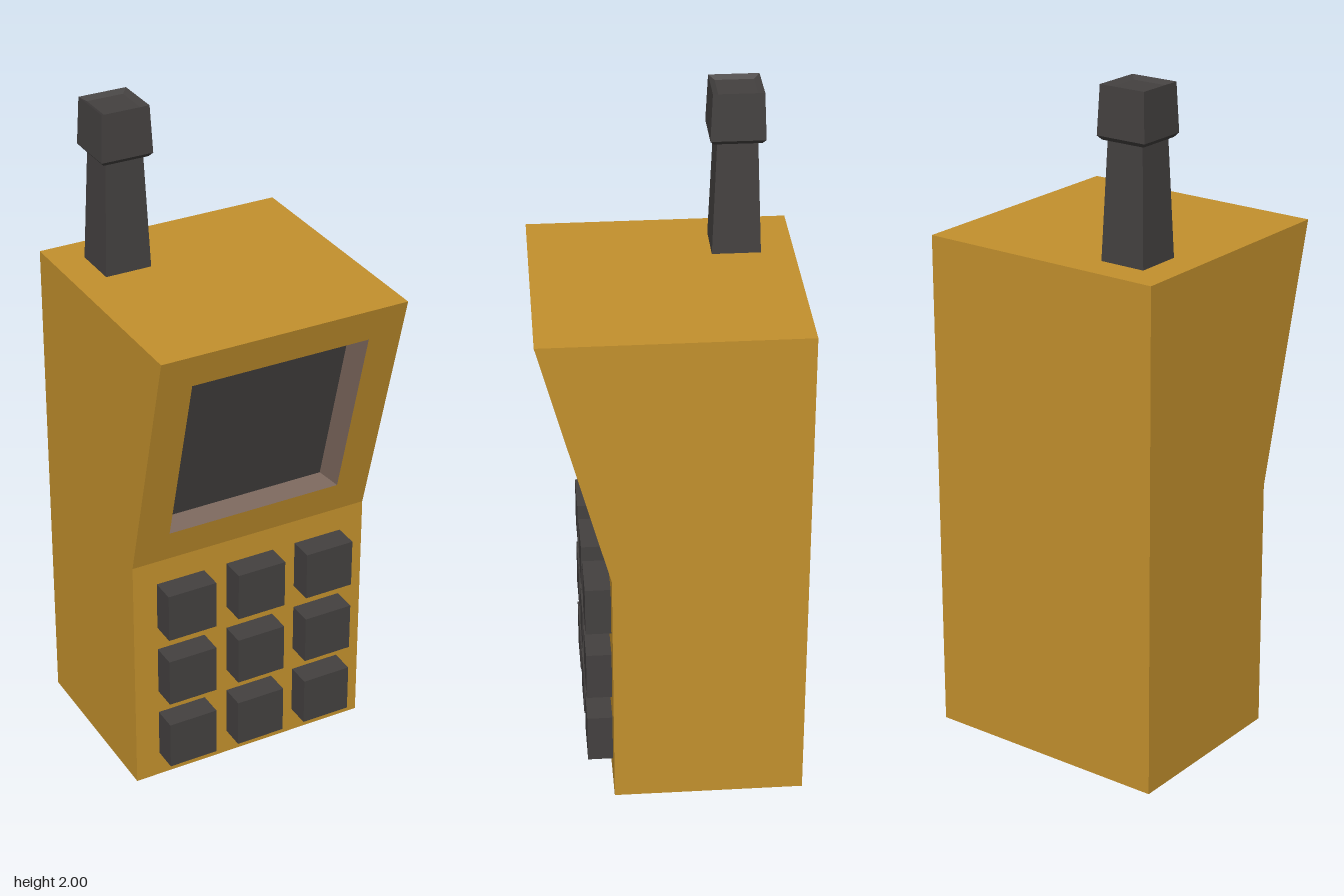
import * as THREE from 'three';

const casingMat = new THREE.MeshStandardMaterial({ color: 0xc4912d });
casingMat.name = 'mustard casing';
const darkMat = new THREE.MeshStandardMaterial({ color: 0x444140 });
darkMat.name = 'charcoal';
const bezelMat = new THREE.MeshStandardMaterial({ color: 0x78645a });
bezelMat.name = 'brown bezel';

const W = 0.378, H = 1.514, BACK = -0.378, FRONT = 0.18, BEND = 0.76;

// depth of the leaning upper front at height y
const slopeZ = (y) => FRONT + ((y - BEND) * (W - FRONT)) / (H - BEND);

function add(parent, name, geometry, material) {
  const mesh = new THREE.Mesh(geometry, material);
  mesh.name = name;
  parent.add(mesh);
  return mesh;
}

// flat-shaded geometry from quads, corners counter-clockwise from outside
function quads(list) {
  const pos = [];
  for (const [a, b, c, d] of list) pos.push(...a, ...b, ...c, ...a, ...c, ...d);
  const g = new THREE.BufferGeometry();
  g.setAttribute('position', new THREE.Float32BufferAttribute(pos, 3));
  g.computeVertexNormals();
  return g;
}

// rectangle parallel to the leaning front, pushed back by depth
function slopeRect(x, y0, y1, depth) {
  return [[-x, y0], [x, y0], [x, y1], [-x, y1]].map(([px, py]) => [px, py, slopeZ(py) - depth]);
}

// four quads joining an outer rectangle to an inner one
const frame = (outer, inner) =>
  outer.map((p, i) => [p, outer[(i + 1) % 4], inner[(i + 1) % 4], inner[i]]);

// square-section solid of revolution from [half width, y] pairs
function squareLathe(profile) {
  const pts = profile.map(([r, y]) => new THREE.Vector2(r * Math.SQRT2, y));
  const g = new THREE.LatheGeometry(pts, 4, Math.PI / 4).toNonIndexed();
  g.computeVertexNormals();
  return g;
}

export function createModel() {
  const model = new THREE.Group();
  model.name = 'handheldRadio';

  // casing shell
  const opening = slopeRect(0.273, 0.862, 1.41, 0);
  const floor = slopeRect(0.246, 0.884, 1.379, 0.06);
  const lower = [[-W, 0, FRONT], [W, 0, FRONT], [W, BEND, FRONT], [-W, BEND, FRONT]];
  const upper = slopeRect(W, BEND, H, 0);
  const back = [[W, 0, BACK], [-W, 0, BACK], [-W, H, BACK], [W, H, BACK]];
  const faces = [
    lower, back,
    [[-W, H, W], [W, H, W], [W, H, BACK], [-W, H, BACK]],
    [[-W, 0, BACK], [W, 0, BACK], [W, 0, FRONT], [-W, 0, FRONT]],
    ...frame(upper, opening),
  ];
  for (const s of [1, -1]) {
    const strips = [
      [[s * W, 0, FRONT], [s * W, 0, BACK], [s * W, BEND, BACK], [s * W, BEND, FRONT]],
      [[s * W, BEND, FRONT], [s * W, BEND, BACK], [s * W, H, BACK], [s * W, H, W]],
    ];
    faces.push(...strips.map((q) => (s > 0 ? q : q.reverse())));
  }
  add(model, 'casing', quads(faces), casingMat);

  // recessed screen
  add(model, 'screenBezel', quads(frame(opening, floor)), bezelMat);
  add(model, 'screen', quads([floor]), darkMat);

  // keypad
  const keypad = new THREE.Group();
  keypad.name = 'keypad';
  const keyGeo = new THREE.BoxGeometry(0.153, 0.151, 0.075);
  for (let row = 0; row < 3; row++) {
    for (let col = -1; col <= 1; col++) {
      add(keypad, 'key', keyGeo, darkMat).position.set(col * 0.226, 0.154 + row * 0.227, FRONT + 0.0365);
    }
  }
  model.add(keypad);

  // antenna with flared, slightly dished cap
  const antenna = new THREE.Group();
  antenna.name = 'antenna';
  antenna.position.set(-0.213, 0, -0.213);
  add(antenna, 'antennaStalk', squareLathe([[0.07, H], [0.057, 1.86]]), darkMat);
  add(antenna, 'antennaCap', squareLathe([
    [0, 1.85], [0.068, 1.85], [0.078, 1.862], [0.072, 2], [0.055, 1.99], [0, 1.99],
  ]), darkMat);
  model.add(antenna);

  return model;
}
